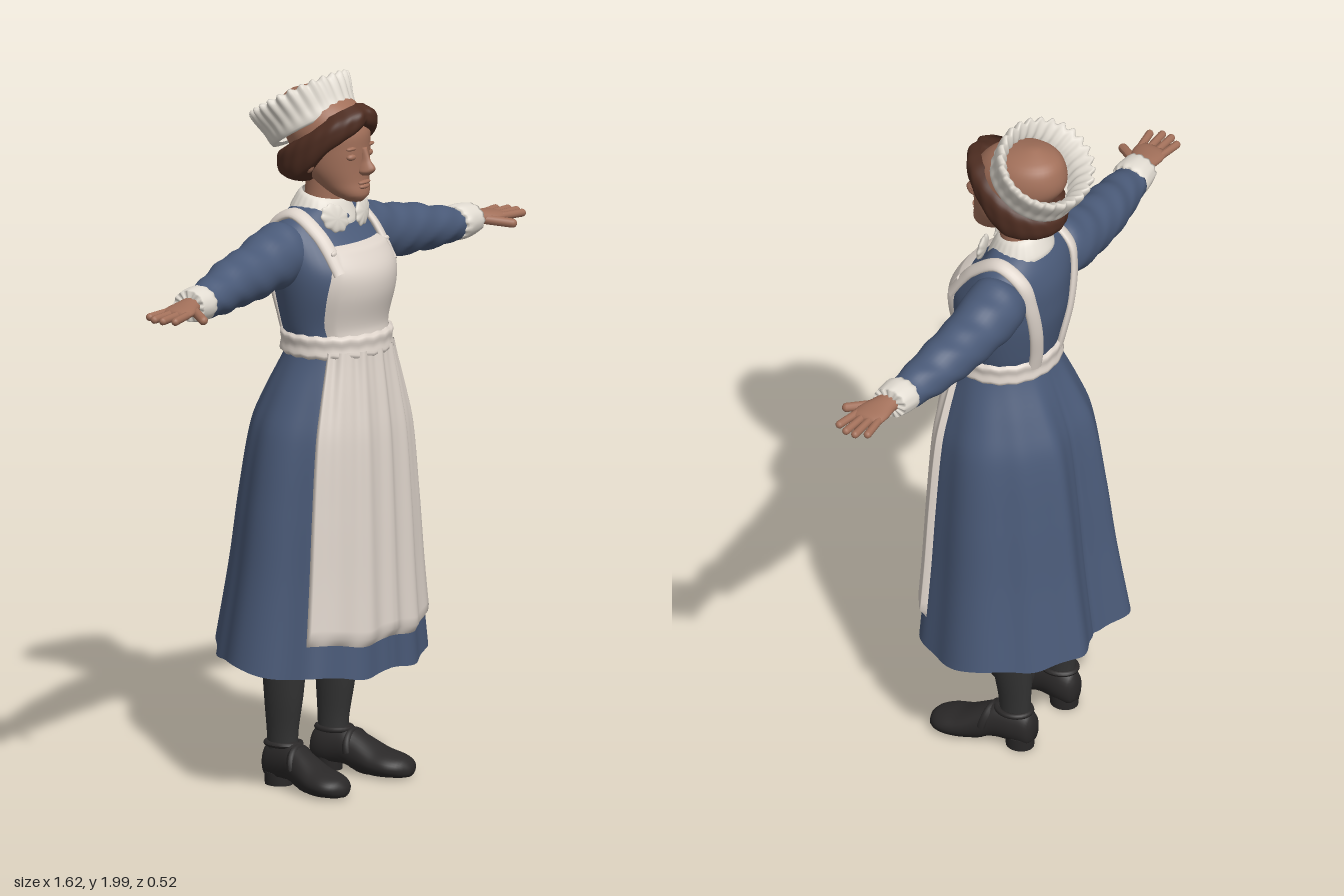
import * as THREE from 'three';

const mat = (name, color, side = THREE.FrontSide) => {
  const m = new THREE.MeshStandardMaterial({ color, side });
  m.name = name;
  return m;
};
const { sin, cos, PI, abs, sqrt, exp, max, sign } = Math;
const V = (x, y, z) => new THREE.Vector3(x, y, z);

// Smooth lookup: rows are [key, ...values] with rising keys
function lut(rows, x) {
  let i = 0;
  while (i < rows.length - 2 && x > rows[i + 1][0]) i++;
  const p = rows[i], q = rows[i + 1], o = rows[i - 1] || p, r = rows[i + 2] || q;
  const h = q[0] - p[0], t = Math.min(1, max(0, (x - p[0]) / h)), t2 = t * t, t3 = t2 * t;
  return p.slice(1).map((a, k) => {
    const j = k + 1, b = q[j];
    const m0 = (b - o[j]) / (q[0] - o[0]) * h, m1 = (r[j] - a) / (r[0] - p[0]) * h;
    return a * (2 * t3 - 3 * t2 + 1) + m0 * (t3 - 2 * t2 + t) + b * (3 * t2 - 2 * t3) + m1 * (t3 - t2);
  });
}

// Surface grid from fn(u, v) -> Vector3; wrap joins u = 1 to u = 0
function grid(fn, nu, nv, wrap = true) {
  const pos = [], idx = [], w = wrap ? nu : nu + 1;
  for (let j = 0; j <= nv; j++)
    for (let i = 0; i < w; i++) pos.push(...fn(i / nu, j / nv).toArray());
  for (let j = 0; j < nv; j++)
    for (let i = 0; i < nu; i++) {
      const a = j * w + i, b = j * w + (i + 1) % w;
      idx.push(a, b, b + w, a, b + w, a + w);
    }
  const g = new THREE.BufferGeometry();
  g.setAttribute('position', new THREE.Float32BufferAttribute(pos, 3));
  g.setIndex(idx);
  g.computeVertexNormals();
  return g;
}

// Closed loft of ellipses along an axis: rows are [key, centreA, centreB, radiusA, radiusB]
function loft(rows, axis = 'y', nu = 32, nv = 30, tweak = p => p) {
  const k0 = rows[0][0], k1 = rows[rows.length - 1][0];
  return grid((u, v) => {
    const f = v * (nv + 2) - 1, k = k0 + (k1 - k0) * Math.min(1, max(0, f / nv));
    const [a, b, ra, rb] = lut(rows, k), end = v === 0 || v === 1 ? 0 : 1;
    const s = ra * sin(u * 2 * PI) * end, c = b + rb * cos(u * 2 * PI) * end;
    if (axis === 'y') return tweak(V(a + s, k, c), u);
    if (axis === 'x') return tweak(V(k, a - s, c), u);
    return tweak(V(a - s, c, k), u);
  }, nu, nv + 2);
}

function mirrored(g) {
  const m = g.clone().scale(-1, 1, 1), ix = m.index.array;
  for (let i = 0; i < ix.length; i += 3) [ix[i], ix[i + 1]] = [ix[i + 1], ix[i]];
  m.computeVertexNormals();
  return m;
}
const ball = (x, y, z, rx, ry, rz) => new THREE.SphereGeometry(1, 24, 16).scale(rx, ry, rz).translate(x, y, z);
function capsule(p, q, r) {
  const d = q.clone().sub(p), len = d.length();
  return new THREE.CapsuleGeometry(r, len, 6, 12)
    .applyQuaternion(new THREE.Quaternion().setFromUnitVectors(V(0, 1, 0), d.normalize()))
    .translate(...p.clone().add(q).multiplyScalar(0.5).toArray());
}

// Bodice sections: y, x, z, half width, half depth
const TORSO = [[1.2, 0, .05, .145, .13], [1.25, 0, .05, .147, .13], [1.3, 0, .04, .158, .13], [1.4, 0, .04, .178, .15],
  [1.46, 0, .035, .185, .148], [1.52, 0, .015, .185, .125], [1.57, 0, 0, .172, .095], [1.605, 0, 0, .125, .075], [1.63, 0, .005, .07, .06]];
const torsoPoint = (x, y, s, off) => {
  const [, cz, rx, rz] = lut(TORSO, y);
  return V(x, y, cz + s * (rz * sqrt(max(0, 1 - (x / rx) ** 2)) + off));
};

// Skirt: waist ellipse blended into a lobed hem
const HEM = [[0, .235], [.3, .25], [.55, .265], [.8, .285], [1.05, .312], [1.3, .308], [1.57, .333], [1.85, .312],
  [2.27, .29], [2.6, .288], [2.76, .288], [2.97, .248], [PI, .222]];
const FLARE = [[0, 0], [.04, .07], [.16, .32], [.27, .51], [.5, .68], [.73, .81], [1, 1]];
function skirtPoint(a, t, off) {
  const f = lut(FLARE, t)[0], r = lut(HEM, abs(a))[0] + .004 * cos(14 * a);
  const hem = .36 - .02 * cos(a) + .007 * cos(7 * a);
  return V(sin(a) * (.145 + (r - .145) * f + off), 1.24 + (hem - 1.24) * t,
    .055 * (1 - f) + cos(a) * (.13 + (r - .13) * f + off));
}

export function createModel() {
  const root = new THREE.Group();
  const blue = mat('blue dress cloth', 0x4a5a78, THREE.DoubleSide);
  const apron = mat('apron cloth', 0xddd3ca, THREE.DoubleSide);
  const white = mat('white trim', 0xe2dcd2, THREE.DoubleSide);
  const skin = mat('skin', 0xa2705a), hair = mat('brown hair', 0x4e2d21, THREE.DoubleSide);
  const stocking = mat('black stocking', 0x333333), leather = mat('black leather', 0x2a2828);
  const add = (name, g, m) => {
    const mesh = new THREE.Mesh(g, m);
    mesh.name = name;
    root.add(mesh);
  };
  const pair = (name, g, m) => { add(name + 'Left', g, m); add(name + 'Right', mirrored(g), m); };

  // Dress
  add('bodice', loft(TORSO, 'y', 48, 40), blue);
  add('skirt', grid((u, v) => skirtPoint((u * 2 - 1) * PI, 1 - v, 0), 144, 40), blue);
  pair('sleeve', loft([[.08, 1.5, -.01, .06, .065], [.17, 1.503, -.015, .088, .085], [.24, 1.492, -.015, .083, .08],
    [.32, 1.476, -.01, .076, .074], [.4, 1.47, -.005, .07, .07], [.5, 1.456, .01, .057, .06], [.58, 1.452, .02, .044, .05]],
    'x', 32, 50, (p, u) => { p.y += .003 * sin(p.x * 70 + 4 * sin(u * 2 * PI)); return p; }), blue);
  pair('cuff', loft([[.565, 1.452, .022, .044, .05], [.58, 1.453, .024, .049, .056], [.615, 1.454, .026, .047, .053],
    [.638, 1.455, .028, .042, .05]], 'x', 48, 10, (p, u) => { p.x += .003 * cos(u * 2 * PI * 12); return p; }), white);

  // Apron: gathered skirt, waistband, bib and shoulder straps
  add('apronSkirt', grid((u, v) => {
    const a = (u * 2 - 1) * 1.07, t = .9 * (1 - v);
    const edge = u === 0 || u === 1 || v === 0;
    return skirtPoint(a, t, edge ? .001 : .016 + .004 * cos(17 * a) + .002 * cos(31 * a) * (1 - t));
  }, 90, 36, false), apron);
  const band = [[1.22, .158, .143], [1.226, .165, .15], [1.25, .161, .146], [1.276, .165, .148], [1.284, .154, .136]];
  add('waistband', grid((u, v) => {
    const y = 1.22 + .064 * v, [rx, rz] = lut(band, y), a = u * 2 * PI;
    return V(rx * sin(a), y + .002 * cos(20 * a), .053 + rz * cos(a));
  }, 80, 10), apron);
  const bibWidth = [[1.27, .125], [1.33, .138], [1.42, .143], [1.53, .115]];
  add('bib', grid((u, v) => {
    const y = 1.27 + .26 * v, x = (u * 2 - 1) * lut(bibWidth, y)[0];
    return torsoPoint(x, y, 1, u === 0 || u === 1 || v === 1 ? .002 : .013 + .008 * v * v);
  }, 30, 24, false), apron);
  const strapPath = new THREE.CatmullRomCurve3([
    torsoPoint(.118, 1.46, 1, .008), torsoPoint(.12, 1.52, 1, .008), torsoPoint(.122, 1.565, 1, .008),
    V(.124, 1.612, 0),
    ...[[.12, 1.57], [.11, 1.5], [.088, 1.4], [.068, 1.31], [.062, 1.26]].map(([x, y]) => torsoPoint(x, y, -1, .006))]);
  pair('strap', grid((u, v) => {
    const p = strapPath.getPoint(v), t = strapPath.getTangent(v);
    const n = V(p.x, p.y - 1.35, (p.z - .02) * 1.5);
    n.addScaledVector(t, -n.dot(t)).normalize();
    const s = t.clone().cross(n).normalize(), a = u * 2 * PI;
    return p.addScaledVector(s, -.021 * sin(a)).addScaledVector(n, .011 * cos(a));
  }, 16, 50), apron);
  pair('strapButton', ball(.118, 1.515, torsoPoint(.118, 1.515, 1, .018).z, .012, .008, .006), apron);

  // Collar with two rounded frilled points
  add('collar', grid((u, v) => {
    const a = u * 2 * PI, [r, y] = lut([[0, .098, 1.592], [.3, .096, 1.605], [.7, .074, 1.645], [1, .062, 1.655]], v);
    const z = .008 + .9 * r * cos(a), k = 1 + .02 * cos(24 * a) * (1 - v);
    return V(r * k * sin(a), y - .2 * z, z);
  }, 96, 10), white);
  pair('collarPoint', grid((u, v) => {
    const a = u * 2 * PI, r = sin(v * PI) * (1 + .06 * cos(9 * a)), c = -cos(v * PI);
    return V(.062 + .042 * r * sin(a) + .01 * r * cos(a), 1.6 + .04 * r * cos(a), .093 - .25 * .042 * r * sin(a) - .3 * .03 * r * cos(a) + .011 * c);
  }, 48, 12), white);
  add('collarButton', ball(0, 1.59, .085, .012, .012, .008), blue);

  // Head
  add('head', loft([[1.642, 0, .112, .02, .025], [1.66, 0, .1, .048, .053], [1.7, 0, .066, .073, .082], [1.74, 0, .042, .089, .105],
    [1.79, 0, .028, .097, .12], [1.84, 0, .01, .103, .135], [1.89, 0, -.005, .094, .118], [1.925, 0, -.02, .066, .08],
    [1.945, 0, -.03, .015, .018]], 'y', 40, 40), skin);
  add('neck', loft([[1.56, 0, .005, .07, .06], [1.62, 0, .01, .056, .056], [1.74, 0, .02, .055, .055]]), skin);
  add('nose', loft([[1.718, 0, .15, .01, .012], [1.728, 0, .15, .021, .026], [1.74, 0, .15, .018, .033],
    [1.76, 0, .146, .011, .022], [1.795, 0, .143, .009, .011]], 'y', 20, 16), skin);
  add('upperLip', ball(0, 1.698, .147, .025, .006, .01), skin);
  add('lowerLip', ball(0, 1.686, .147, .021, .007, .009), skin);
  pair('eyelid', ball(.037, 1.772, .131, .018, .010, .012), skin);
  pair('brow', ball(.037, 1.796, .133, .024, .006, .010), skin);
  pair('ear', ball(.098, 1.755, .03, .012, .03, .02), skin);

  // Parted hair, swept back under the cap
  const hairline = [[0, 1.852], [.5, 1.82], [1, 1.78], [1.35, 1.735], [1.75, 1.695], [2.4, 1.688], [PI, 1.688]];
  const swell = [[0, .45], [.1, .82], [.22, .95], [.5, 1], [.8, .95], [1, .72]];
  add('hair', grid((u, v) => {
    const a = (u * 2 - 1) * PI, y0 = lut(hairline, abs(a))[0], y1 = 1.842 + .072 * cos(a);
    const r = lut(swell, v)[0] * (1 - .07 * exp(-((a / .12) ** 2)) + .008 * sin(18 * abs(a) + 5 * v));
    return V(.121 * r * sin(a), y0 + (y1 - y0) * max(0, (v - .05) / .95), .02 + .145 * r * cos(a));
  }, 120, 24), hair);

  // Ruffled cap, a tilted open ring around the crown
  const capProfile = [[0, .1, 0, 1.05], [.08, .12, -.005, 1.06], [.3, .134, .035, .98], [.55, .157, .092, .86],
    [.64, .146, .1, .86], [.8, .116, .066, .9], [1, .1, .02, 1]];
  const along = V(0, .52, .855), up = V(0, .855, -.52);
  add('cap', grid((u, v) => {
    const a = u * 2 * PI, [r, h, k] = lut(capProfile, v);
    const fold = cos(26 * a) * max(0, h) / .1, q = r + .006 * fold;
    return V(q * sin(a), 1.83, -.025).addScaledVector(along, q * k * cos(a)).addScaledVector(up, h + .004 * fold);
  }, 208, 24), white);

  // Hands
  pair('palm', loft([[.615, 1.455, .028, .026, .032], [.65, 1.456, .036, .022, .036], [.69, 1.454, .043, .018, .046],
    [.72, 1.452, .046, .015, .046], [.735, 1.451, .047, .01, .042]], 'x', 24, 14), skin);
  [[.012, .005, .782], [.034, .034, .8], [.057, .063, .8], [.08, .094, .785]].forEach(([z0, z1, x], i) =>
    pair('finger' + (i + 1), capsule(V(.715, 1.452, z0), V(x, 1.45, z1), .011), skin));
  pair('thumb', capsule(V(.655, 1.452, .058), V(.7, 1.442, .125), .013), skin);

  // Legs and shoes
  pair('stocking', loft([[.07, .113, -.045, .034, .044], [.15, .115, -.045, .036, .047], [.25, .117, -.04, .045, .058],
    [.35, .117, -.037, .051, .066], [.5, .115, -.02, .055, .066], [.65, .11, 0, .058, .065]]), stocking);
  pair('shoe', loft([[-.105, .108, .06, .02, .03], [-.095, .109, .062, .034, .05], [-.06, .111, .068, .044, .058],
    [0, .121, .07, .048, .058], [.04, .129, .055, .054, .055], [.1, .139, .036, .064, .042], [.15, .145, .03, .062, .034],
    [.183, .148, .026, .04, .025], [.197, .148, .022, .012, .012]], 'z', 32, 40,
    p => { p.y = max(p.y, p.z < .02 ? .026 : max(.004, .026 - (p.z - .02) * .7)); return p; }), leather);
  pair('shoeHeel', new THREE.CylinderGeometry(1, .95, .036, 24).scale(.038, 1, .042).translate(.112, .018, -.06), leather);
  pair('shoeCollar', new THREE.TorusGeometry(.041, .008, 8, 28).rotateX(PI / 2).scale(1, 1, 1.2).translate(.115, .118, -.042), leather);
  pair('shoeStrap', new THREE.TorusGeometry(.048, .009, 8, 24, PI).scale(1, 1.15, 1.4).rotateX(-.25).translate(.126, .06, .028), leather);

  return root;
}
